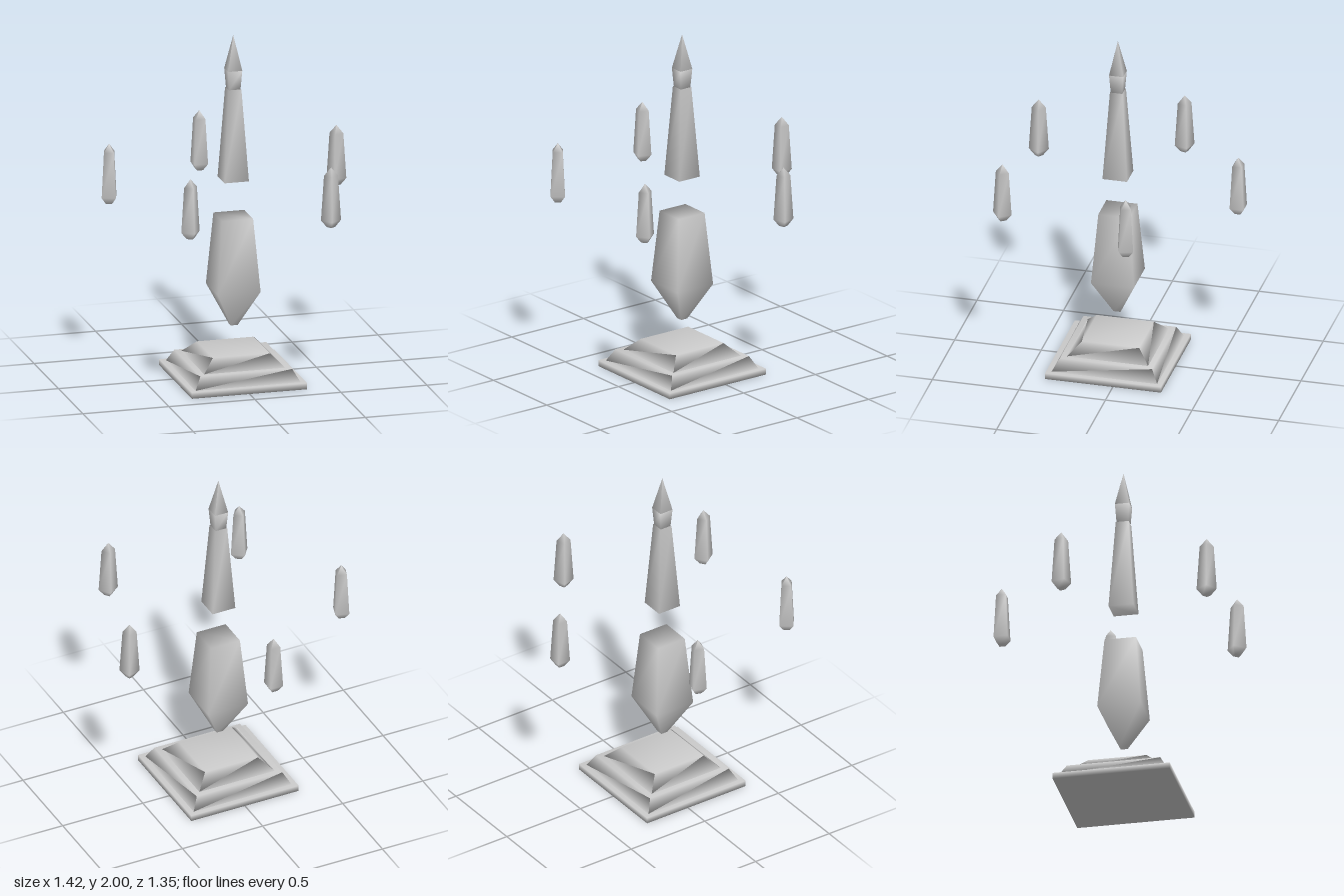
import * as THREE from 'three';

const material = new THREE.MeshStandardMaterial({ color: 0xcccccc });

// Square column lofted through [height, half width] rings, bottom to top,
// with shared corners so the shading rolls softly over the edges.
function squareLoft(name, rings) {
  const positions = [];
  const index = [];
  for (const [y, h] of rings) {
    positions.push(h, y, h, h, y, -h, -h, y, -h, -h, y, h);
  }
  for (let r = 0; r < rings.length - 1; r++) {
    for (let s = 0; s < 4; s++) {
      const a = r * 4 + s;
      const b = r * 4 + (s + 1) % 4;
      index.push(a, b, b + 4, a, b + 4, a + 4);
    }
  }
  const t = (rings.length - 1) * 4;
  index.push(0, 2, 1, 0, 3, 2, t, t + 1, t + 2, t, t + 2, t + 3);
  const geometry = new THREE.BufferGeometry();
  geometry.setAttribute('position', new THREE.Float32BufferAttribute(positions, 3));
  geometry.setIndex(index);
  geometry.computeVertexNormals();
  const mesh = new THREE.Mesh(geometry, material);
  mesh.name = name;
  return mesh;
}

export function createModel() {
  const model = new THREE.Group();
  model.name = 'floatingObelisk';
  const monument = new THREE.Group();
  monument.name = 'monument';
  monument.position.z = 0.057;
  model.add(monument);

  // Stepped pedestal
  const pedestal = new THREE.Group();
  pedestal.name = 'pedestal';
  pedestal.add(
    squareLoft('pedestalSlab', [[0, 0.335], [0.035, 0.335]]),
    squareLoft('pedestalStep', [[0.035, 0.305], [0.105, 0.267]]),
    squareLoft('pedestalCap', [[0.105, 0.235], [0.175, 0.165]])
  );

  // Hovering lower shard
  const shard = squareLoft('lowerShard', [[0.31, 0.02], [0.525, 0.124], [0.945, 0.09]]);

  // Hovering spire with neck and pointed tip
  const spire = new THREE.Group();
  spire.name = 'spire';
  spire.add(
    squareLoft('spireShaft', [[1.16, 0.071], [1.69, 0.037]]),
    squareLoft('spireNeck', [[1.69, 0.033], [1.8, 0.041]]),
    squareLoft('spireTip', [[1.8, 0.041], [2, 0.0005]])
  );
  monument.add(pedestal, shard, spire);

  // Ring of five small crystals, each facing the centre
  const crystals = new THREE.Group();
  crystals.name = 'crystalRing';
  for (let i = 0; i < 5; i++) {
    const arm = new THREE.Group();
    arm.name = 'crystalArm' + (i + 1);
    arm.rotation.y = i * Math.PI * 2 / 5;
    const crystal = squareLoft('crystal', [[1.01, 0.017], [1.05, 0.04], [1.31, 0.028], [1.357, 0.0005]]);
    crystal.position.z = -0.695;
    arm.add(crystal);
    crystals.add(arm);
  }
  monument.add(crystals);
  return model;
}
